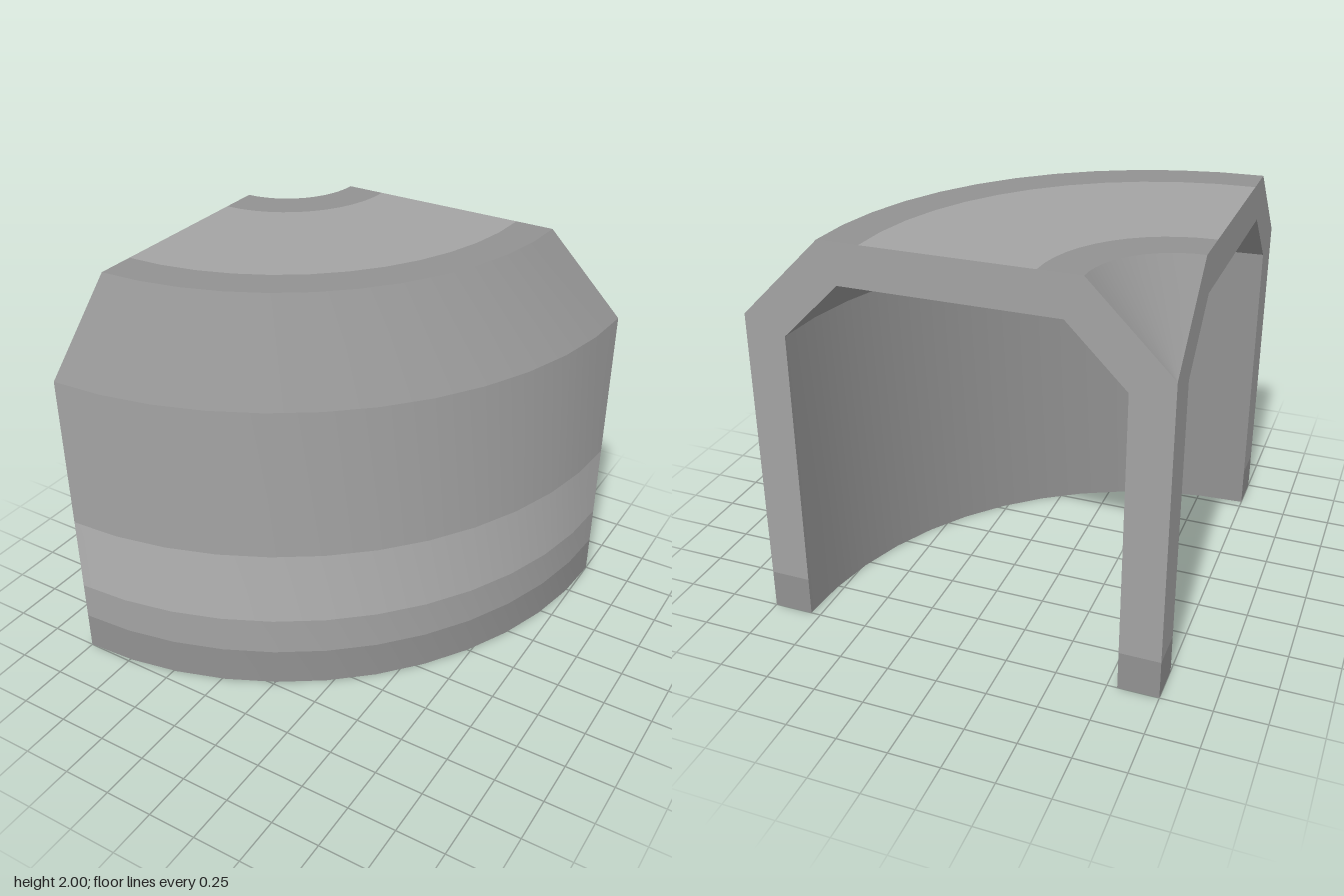
import * as THREE from 'three';
import { toCreasedNormals } from 'three/addons/utils/BufferGeometryUtils.js';

const WALL = 0.2;
const SEGMENTS = 12;

const grey = (color) => new THREE.MeshStandardMaterial({ color });
const toVectors = (points) => points.map(([r, y]) => new THREE.Vector2(r, y));

export function createModel() {
  const group = new THREE.Group();
  group.name = 'quarterHousing';
  const dark = grey(0x919191);
  const medium = grey(0xa3a3a3);
  const light = grey(0xb3b3b3);

  // Every part is placed about the axis at the back corner
  const add = (name, geometry, material) => {
    const mesh = new THREE.Mesh(geometry, material);
    mesh.name = name;
    mesh.position.set(-1, 0, -1);
    group.add(mesh);
  };

  // Quarter-turn surface: smooth around, sharp at profile corners
  const band = (name, material, points) => {
    const lathe = new THREE.LatheGeometry(toVectors(points), SEGMENTS, 0, Math.PI / 2);
    add(name, toCreasedNormals(lathe, 0.5), material);
  };

  // Flat section repeated on both cut planes, facing -x and -z
  const cut = (name, material, points) => {
    const side = new THREE.ShapeGeometry(new THREE.Shape(toVectors(points)));
    add(name + 'Side', side.rotateY(-Math.PI / 2), material);
    const mirrored = toVectors(points.map(([r, y]) => [-r, y]).reverse());
    const back = new THREE.ShapeGeometry(new THREE.Shape(mirrored));
    add(name + 'Back', back.rotateY(Math.PI), material);
  };

  // Inner corners [radius, height], one wall thickness in from the outside
  const d = WALL * Math.SQRT2; // vertical offset of the 45 degree slopes
  const ceiling = 2 - WALL;
  const slopeFoot = 1.6 + WALL - d;
  const inner = [
    [WALL, slopeFoot], [ceiling - 1.6 + d, ceiling],
    [3.6 - d - ceiling, ceiling], [2 - WALL, slopeFoot],
  ];

  // Inside: stem, funnel underside, ceiling, bevel, wall and rim foot
  band('innerSurface', dark, [[0, 0], [WALL, 0], ...inner, [2 - WALL, 0], [2, 0]]);

  // Outer wall, from the rim up
  band('rimBand', dark, [[2, 0], [2, 0.2]]);
  band('lowerWall', medium, [[2, 0.2], [2, 0.4]]);
  band('lightBand', light, [[2, 0.4], [2, 0.8]]);
  band('upperWall', medium, [[2, 0.8], [2, 1.6]]);

  // Bevel, roof and funnel, from the edge towards the axis
  band('bevelAndEdge', dark, [[2, 1.6], [1.6, 2], [1.4, 2]]);
  band('roof', medium, [[1.4, 2], [0.6, 2]]);
  band('funnel', dark, [[0.6, 2], [0.4, 2], [0, 1.6]]);

  // Cut faces: darker feet below the main section
  cut('stemFoot', dark, [[0, 0], [WALL, 0], [WALL, 0.2], [0, 0.2]]);
  cut('rimFoot', dark, [[2 - WALL, 0], [2, 0], [2, 0.2], [2 - WALL, 0.2]]);
  cut('section', medium, [
    [0, 0.2], [WALL, 0.2], ...inner, [2 - WALL, 0.2], [2, 0.2],
    [2, 1.6], [1.6, 2], [0.4, 2], [0, 1.6],
  ]);

  return group;
}
